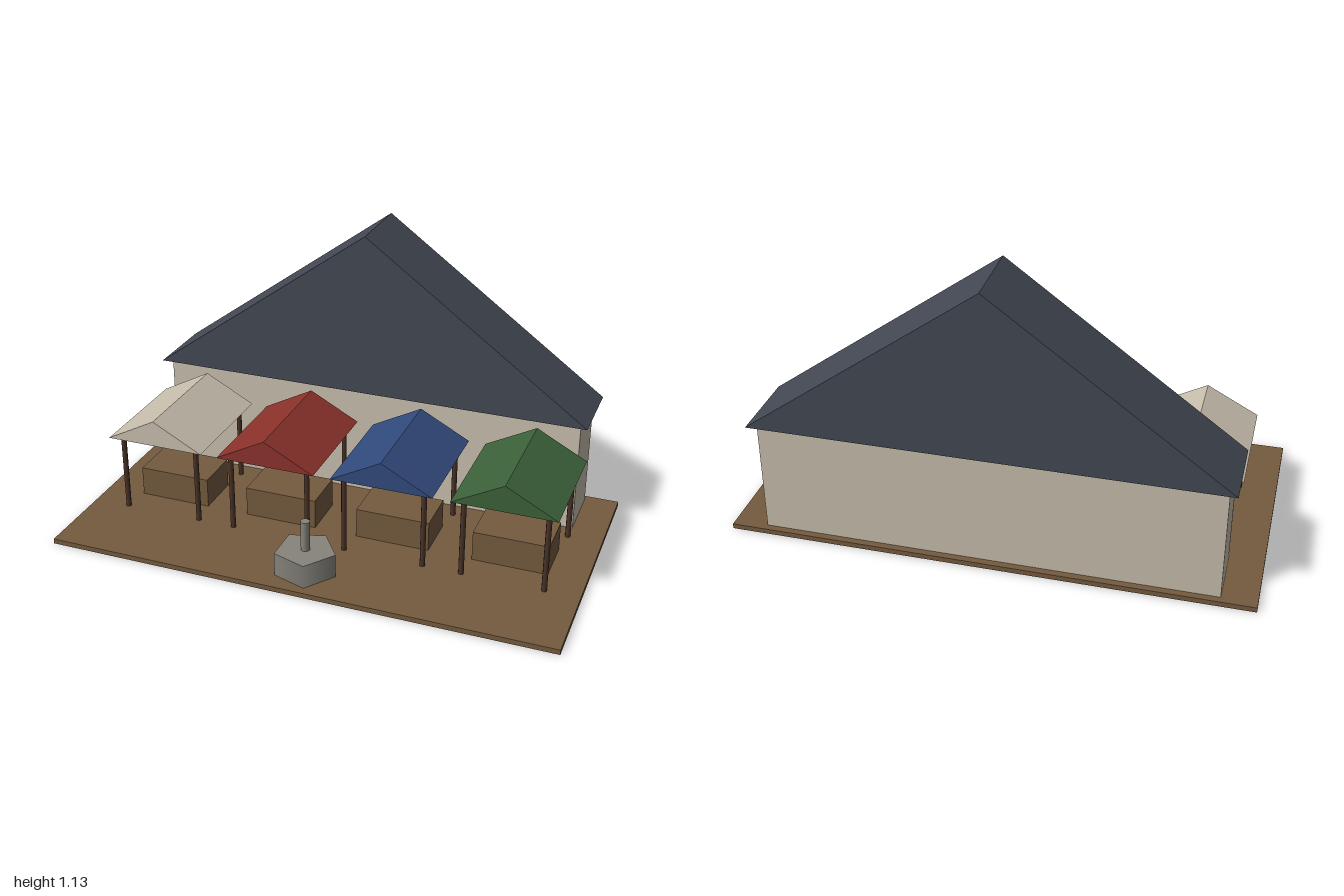
import * as THREE from 'three';

const mat = (name, color) => Object.assign(new THREE.MeshStandardMaterial({ color }), { name });

export function createModel() {
  const group = new THREE.Group();
  const wood = mat('wood', 0x755b3f);
  const plaster = mat('plaster', 0xc8bead);
  const slate = mat('slate', 0x434854);
  const stone = mat('stone', 0x87847c);
  const darkWood = mat('darkWood', 0x4a3428);
  const awnings = [
    mat('creamCloth', 0xc8bead), mat('redCloth', 0x8b322b),
    mat('blueCloth', 0x314a7c), mat('greenCloth', 0x3c623a),
  ];

  const add = (parent, name, geometry, material, x, y, z) => {
    const mesh = new THREE.Mesh(geometry, material);
    mesh.name = name;
    mesh.position.set(x, y, z);
    parent.add(mesh);
    return mesh;
  };

  // Box standing on its local y = 0
  const box = (w, h, d) => new THREE.BoxGeometry(w, h, d).translate(0, h / 2, 0);

  // Round part standing on its local y = 0
  const post = (r, h, sides) =>
    new THREE.CylinderGeometry(r, r, h, sides, 1, false, Math.PI / 2).translate(0, h / 2, 0);

  // Solid gable roof with its ridge along z
  const gable = (w, h, d) => {
    const s = new THREE.Shape();
    s.moveTo(-w / 2, 0);
    s.lineTo(w / 2, 0);
    s.lineTo(0, h);
    s.closePath();
    return new THREE.ExtrudeGeometry(s, { depth: d, bevelEnabled: false }).translate(0, 0, -d / 2);
  };

  // Ground slab
  add(group, 'ground', box(2, 0.02, 1.068), wood, 0, 0, 0);

  // Hall behind the stalls
  const hall = new THREE.Group();
  hall.name = 'hall';
  hall.position.set(0, 0, -0.387);
  add(hall, 'hallWalls', box(1.735, 0.455, 0.24), plaster, 0, 0.02, 0);
  add(hall, 'hallRoof', gable(1.796, 0.656, 0.306), slate, 0, 0.475, 0);
  group.add(hall);

  // Row of market stalls
  const postGeo = post(0.0107, 0.32, 8);
  const tableGeo = box(0.294, 0.12, 0.188);
  const roofGeo = gable(0.4, 0.106, 0.48);
  awnings.forEach((cloth, i) => {
    const stall = new THREE.Group();
    stall.name = 'stall' + (i + 1);
    stall.position.set(-0.695 + i * 0.467, 0, 0);
    add(stall, 'stallTable', tableGeo, wood, 0, 0.02, 0);
    add(stall, 'stallRoof', roofGeo, cloth, 0, 0.34, 0);
    for (const x of [-0.158, 0.158])
      for (const z of [-0.2, 0.2]) add(stall, 'stallPost', postGeo, darkWood, x, 0.02, z);
    group.add(stall);
  });

  // Five-sided fountain with a central pillar
  const fountain = new THREE.Group();
  fountain.name = 'fountain';
  fountain.position.set(0, 0.02, 0.388);
  add(fountain, 'fountainBasin', post(0.12, 0.094, 5), stone, 0, 0, 0);
  add(fountain, 'fountainPillar', post(0.0187, 0.214, 8), stone, 0, 0, 0);
  group.add(fountain);

  return group;
}
